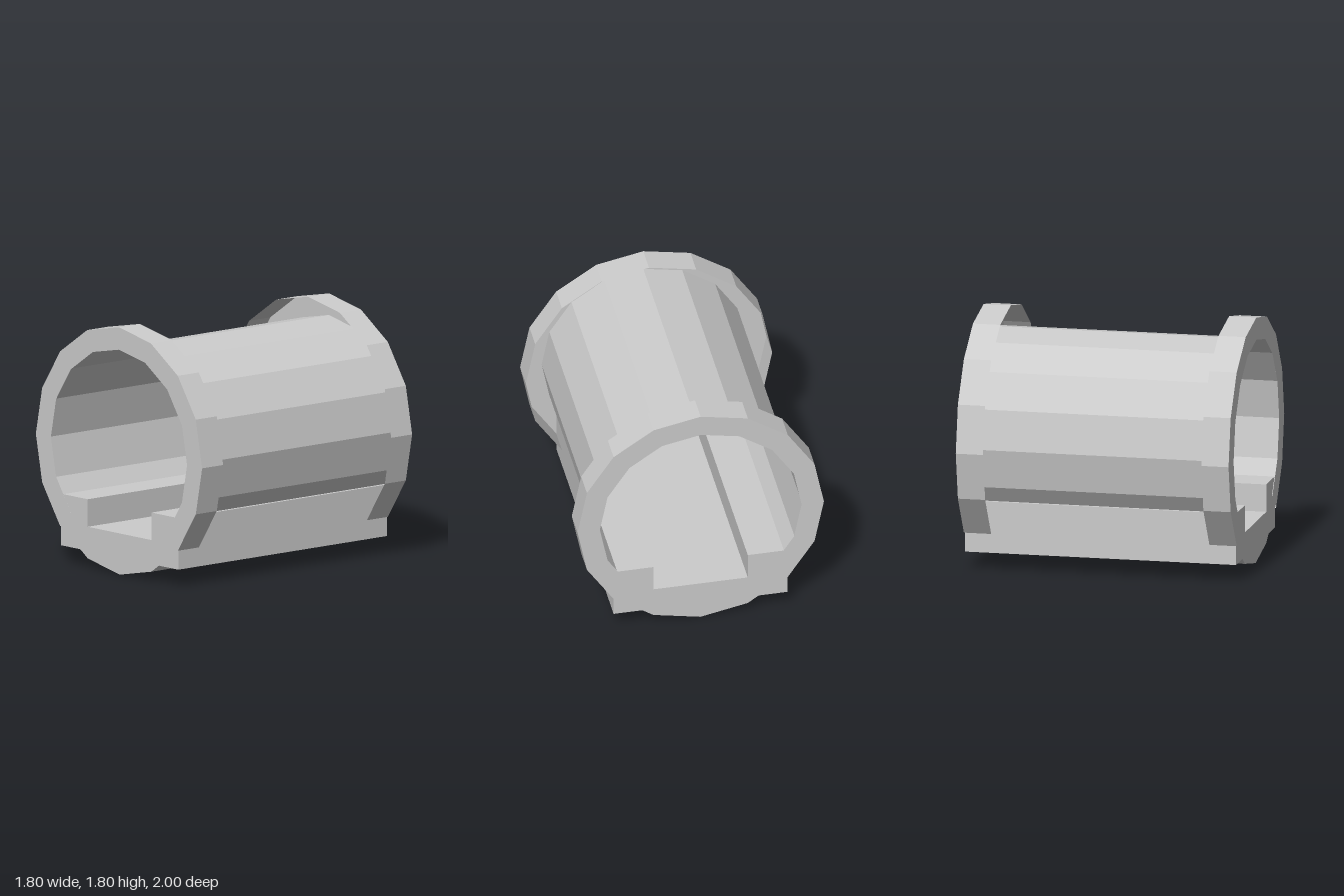
import * as THREE from 'three';

const CENTER_Y = 0.9;
const SEGMENTS = 12; // three quarters of a 16-sided circle
const ARC = Math.PI * 1.5;

export function createModel() {
  const group = new THREE.Group();
  const material = new THREE.MeshStandardMaterial({
    color: 0xcccccc, flatShading: true, side: THREE.DoubleSide,
  });

  const add = (name, geometry, parent = group) => {
    const mesh = new THREE.Mesh(geometry, material);
    mesh.name = name;
    parent.add(mesh);
    return mesh;
  };

  // Open shell along z, with its gap at the bottom
  const shell = (radius, length, z) =>
    new THREE.CylinderGeometry(radius, radius, length, SEGMENTS, 1, true, Math.PI / 4, ARC)
      .rotateX(Math.PI / 2)
      .translate(0, CENTER_Y, z);

  // Thin tunnel wall
  add('tunnelWall', shell(0.743, 1.996, 0));

  // End collars: an outer band closed by a flat ring on the outside only
  for (const side of [1, -1]) {
    const collar = new THREE.Group();
    collar.name = side > 0 ? 'frontCollar' : 'backCollar';
    group.add(collar);
    add('collarBand', shell(0.9, 0.2, side * 0.9), collar);
    const face = new THREE.RingGeometry(0.737, 0.9, SEGMENTS, 1, -Math.PI / 4, ARC);
    if (side < 0) face.rotateY(Math.PI);
    add('collarFace', face.translate(0, CENTER_Y, side), collar);
  }

  // Floor with a raised ledge on each side and a faceted underside
  const half = [
    [0, 0], [0.345, 0.07], [0.425, 0.125], [0.635, 0.125],
    [0.635, 0.5], [0.345, 0.5], [0.345, 0.3],
  ];
  const mirrored = half.slice(1).reverse().map(([x, y]) => [-x, y]);
  const outline = [...half, ...mirrored].map(([x, y]) => new THREE.Vector2(x, y));
  const depth = 1.988;
  const floor = new THREE.ExtrudeGeometry(new THREE.Shape(outline), {
    depth, bevelEnabled: false,
  }).translate(0, 0, -depth / 2);
  add('floorWithLedges', floor);

  return group;
}
